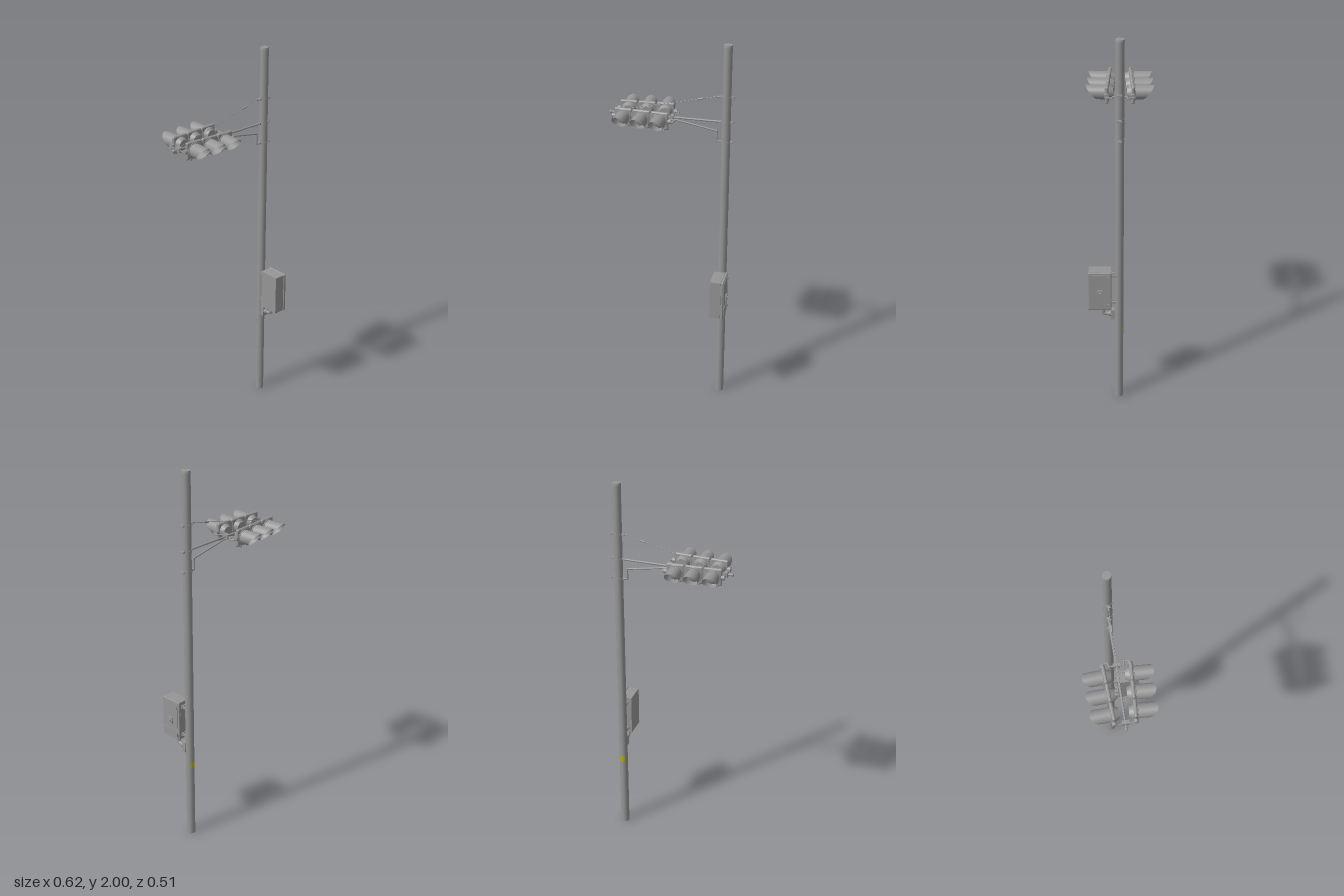
import * as THREE from 'three';
import { RoundedBoxGeometry } from 'three/addons/geometries/RoundedBoxGeometry.js';

const grey = new THREE.MeshStandardMaterial({ color: 0x959595, side: THREE.DoubleSide });
grey.name = 'galvanised grey';
const yellow = new THREE.MeshStandardMaterial({ color: 0xb5b000, side: THREE.DoubleSide });
yellow.name = 'label yellow';

const V = (x, y, z) => new THREE.Vector3(x, y, z);

function add(parent, name, geometry, x = 0, y = 0, z = 0, material = grey) {
  const mesh = new THREE.Mesh(geometry, material);
  mesh.name = name;
  mesh.position.set(x, y, z);
  parent.add(mesh);
  return mesh;
}
const box = (p, name, w, h, d, x, y, z, m) => add(p, name, new THREE.BoxGeometry(w, h, d), x, y, z, m);

// Round bar between two points
function rod(parent, name, a, b, r, r2 = r) {
  const dir = b.clone().sub(a);
  const mesh = add(parent, name, new THREE.CylinderGeometry(r2, r, dir.length(), 12));
  mesh.position.copy(a).add(b).multiplyScalar(0.5);
  mesh.quaternion.setFromUnitVectors(V(0, 1, 0), dir.normalize());
  return mesh;
}
function rods(parent, name, points, r) {
  for (let i = 1; i < points.length; i++) {
    rod(parent, name, points[i - 1], points[i], r);
    if (i > 1) add(parent, name + 'Joint', new THREE.SphereGeometry(r * 1.15, 12, 8), ...points[i - 1].toArray());
  }
}

// Cutaway visor: a tube along +z whose mouth slants back towards the bottom
function visorGeometry(r, topLength, bottomLength) {
  const g = new THREE.CylinderGeometry(r, r, 1, 32, 1, true).rotateX(Math.PI / 2);
  const p = g.attributes.position;
  for (let i = 0; i < p.count; i++) {
    const k = (p.getY(i) / r + 1) / 2;
    p.setZ(i, (p.getZ(i) + 0.5) * (bottomLength + (topLength - bottomLength) * k));
  }
  return g;
}

// Three-lamp signal head, long along x, facing +z
function signalHead(name) {
  const head = new THREE.Group();
  head.name = name;
  const visor = visorGeometry(0.035, 0.098, 0.04);
  const back = new THREE.CylinderGeometry(0.026, 0.038, 0.024, 24).rotateX(-Math.PI / 2);
  const ring = new THREE.TorusGeometry(0.037, 0.003, 8, 32);
  const lens = new THREE.SphereGeometry(0.06, 24, 6, 0, Math.PI * 2, 0, 0.6).rotateX(Math.PI / 2);
  for (let i = -1; i <= 1; i++) {
    const x = i * 0.093;
    add(head, 'lampHousing', new RoundedBoxGeometry(0.09, 0.09, 0.017, 3, 0.008), x, 0, 0);
    add(head, 'backCover', back, x, 0, -0.018);
    add(head, 'lensRing', ring, x, 0, 0.01);
    add(head, 'lens', lens, x, 0, -0.037);
    add(head, 'visor', visor, x, 0, 0.008);
    for (const s of [-1, 1]) box(head, 'latch', 0.012, 0.008, 0.012, x + 0.022 * s, -0.044, 0.004);
  }
  for (const s of [-1, 1]) {
    box(head, 'housingJoint', 0.012, 0.065, 0.013, 0.0465 * s, 0, 0);
    const pivot = add(head, 'endPivot', new THREE.CylinderGeometry(0.012, 0.012, 0.016, 16), 0.143 * s, 0, 0);
    pivot.rotation.z = Math.PI / 2;
  }
  return head;
}

// Band clamp around the pole with bolt lugs on both sides
function poleClamp(parent, y) {
  const clamp = new THREE.Group();
  clamp.name = 'poleClamp';
  clamp.position.y = y;
  add(clamp, 'band', new THREE.CylinderGeometry(0.0235, 0.0235, 0.01, 20));
  for (const s of [-1, 1]) {
    box(clamp, 'lug', 0.014, 0.009, 0.014, 0.028 * s, 0, 0);
    rod(clamp, 'bolt', V(0.032 * s, 0, -0.012), V(0.032 * s, 0, 0.012), 0.003);
  }
  parent.add(clamp);
}

export function createModel() {
  const model = new THREE.Group();
  model.name = 'trafficSignalPole';
  // Local frame on the pole: +x runs out along the arm
  const rig = new THREE.Group();
  rig.name = 'poleAssembly';
  rig.position.set(0.185, 0, -0.23);
  rig.rotation.y = -2.392;
  model.add(rig);

  // Pole with cap and label band
  add(rig, 'pole', new THREE.CylinderGeometry(0.0215, 0.0225, 1.994, 20), 0, 0.997, 0);
  add(rig, 'poleCap', new THREE.CylinderGeometry(0.021, 0.0225, 0.01, 20), 0, 1.995, 0);
  add(rig, 'poleLabel', new THREE.CylinderGeometry(0.0229, 0.0229, 0.035, 12, 1, true, -0.65, 1.3), 0, 0.425, 0, yellow);

  // Arm, lower strut and tie cable
  const armY = 1.605;
  for (const y of [1.735, armY, 1.5]) poleClamp(rig, y);
  rod(rig, 'arm', V(0.02, armY, 0), V(0.585, armY, 0), 0.0052);
  rods(rig, 'strut', [V(0.022, 1.5, 0), V(0.046, 1.5, 0), V(0.046, 1.555, 0), V(0.3, armY - 0.004, 0)], 0.0045);
  rod(rig, 'cableAnchor', V(0.025, 1.735, 0), V(0.05, 1.735, 0), 0.004);
  const cableA = V(0.048, 1.735, 0), cableB = V(0.555, 1.614, 0);
  rod(rig, 'tieCable', cableA, cableB, 0.0013);
  rod(rig, 'cableTensioner', cableA.clone().lerp(cableB, 0.13), cableA.clone().lerp(cableB, 0.19), 0.0045);

  // Two heads back to back, with hangers at both ends
  for (const r of [0.27, 0.555]) {
    box(rig, 'armClamp', 0.018, 0.024, 0.034, r, armY, 0);
  }
  add(rig, 'armEnd', new THREE.SphereGeometry(0.008, 12, 8), 0.585, armY, 0);
  for (const s of [-1, 1]) {
    const head = signalHead(s > 0 ? 'rearSignalHead' : 'frontSignalHead');
    head.position.set(0.412, 1.608, 0.058 * s);
    head.rotation.y = s > 0 ? 0.052 : Math.PI - 0.052;
    rig.add(head);
    rods(rig, 'innerHanger', [V(0.27, armY, 0.01 * s), V(0.27, armY, 0.034 * s),
      V(0.25, armY, 0.04 * s), V(0.254, armY, 0.066 * s), V(0.27, armY, 0.066 * s)], 0.004);
    rods(rig, 'outerHanger', [V(0.555, armY, 0.01 * s), V(0.562, armY, 0.05 * s)], 0.003);
  }

  // Control cabinet beside the pole, door facing away from the arm
  const cabinet = new THREE.Group();
  cabinet.name = 'controlCabinet';
  cabinet.position.set(0, 0.67, -0.098);
  rig.add(cabinet);
  box(cabinet, 'cabinetBody', 0.056, 0.214, 0.112, 0.007, 0, 0);
  add(cabinet, 'cabinetDoor', new RoundedBoxGeometry(0.014, 0.22, 0.118, 2, 0.004), -0.029, 0, 0);
  box(cabinet, 'doorUpperPanel', 0.004, 0.145, 0.1, -0.0365, 0.028, 0);
  box(cabinet, 'doorLowerPanel', 0.004, 0.045, 0.1, -0.0365, -0.076, 0);
  box(cabinet, 'lockPlate', 0.01, 0.036, 0.028, -0.04, -0.008, 0);
  box(cabinet, 'handle', 0.008, 0.014, 0.012, -0.047, -0.008, 0);
  for (const y of [-0.08, 0.08]) {
    box(cabinet, 'hinge', 0.012, 0.022, 0.012, -0.038, y, 0.043);
    box(cabinet, 'mountFoot', 0.04, 0.016, 0.008, 0.0, y, 0.059);
    for (const x of [-0.012, 0.012]) box(cabinet, 'mountBracket', 0.009, 0.012, 0.03, x, y, 0.07);
  }

  // Cable conduit: junction box on the pole, elbow up into the cabinet
  box(rig, 'junctionBox', 0.032, 0.056, 0.02, 0, 0.518, -0.03);
  rod(rig, 'conduitCollar', V(0, 0.518, -0.036), V(0, 0.518, -0.052), 0.014);
  const elbow = new THREE.CatmullRomCurve3([V(0, 0.518, -0.045), V(0, 0.518, -0.064),
    V(0, 0.524, -0.078), V(0, 0.54, -0.084), V(0, 0.565, -0.084)]);
  add(rig, 'conduitElbow', new THREE.TubeGeometry(elbow, 20, 0.01, 12));
  rod(rig, 'conduitNut', V(0, 0.546, -0.084), V(0, 0.562, -0.084), 0.014);

  return model;
}
